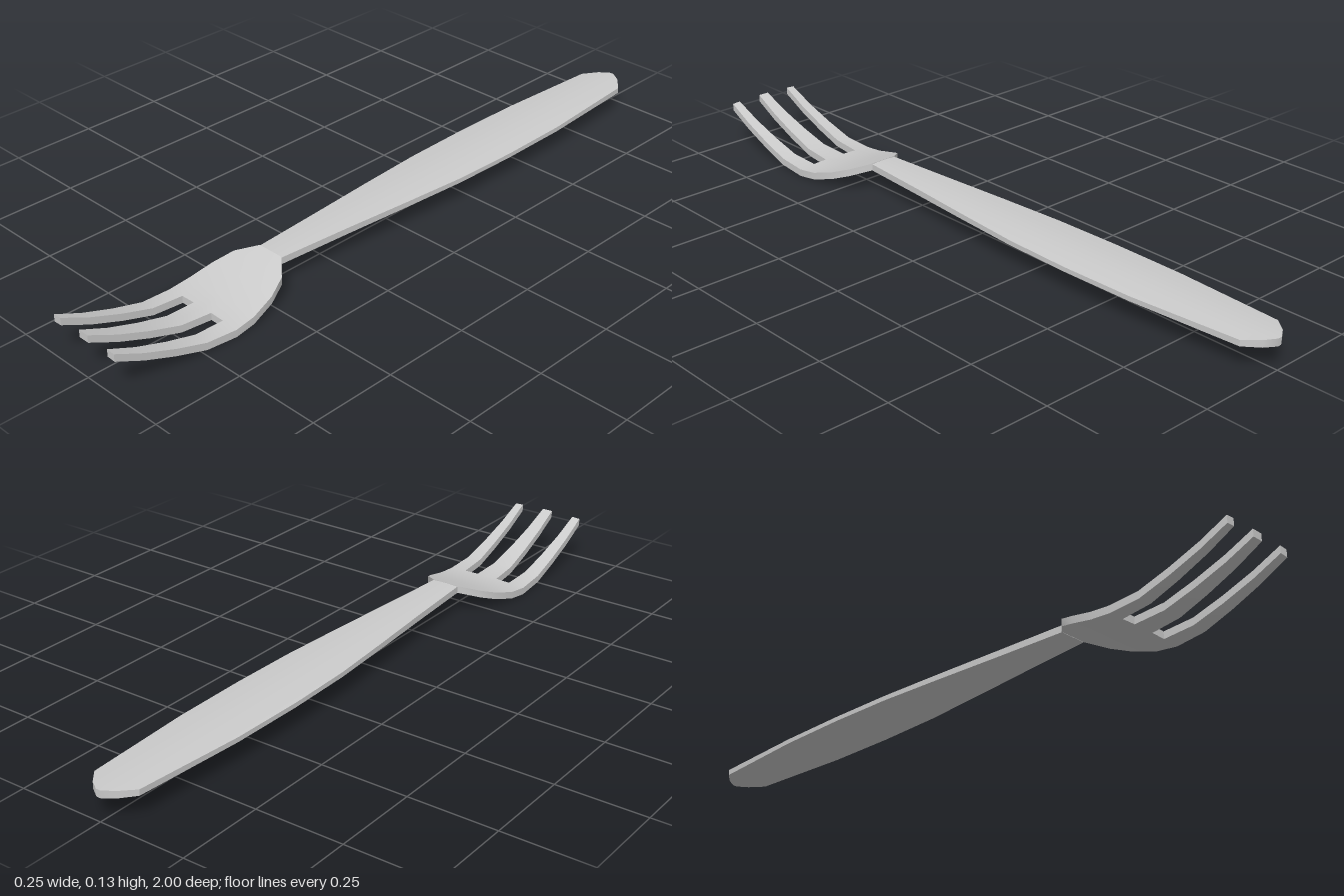
import * as THREE from 'three';
import { toCreasedNormals } from 'three/addons/utils/BufferGeometryUtils.js';

// Slab swept along z: each row is a list of { top, bottom } points, x ascending
function addSlab(out, rows, { back = false, front = false } = {}) {
  const quad = (a, b, c, d) => out.push(...a, ...b, ...c, ...a, ...c, ...d);
  for (let j = 0; j < rows.length - 1; j++) {
    const r = rows[j], s = rows[j + 1], n = r.length - 1;
    for (let i = 0; i < n; i++) {
      quad(r[i].top, s[i].top, s[i + 1].top, r[i + 1].top);
      quad(r[i].bottom, r[i + 1].bottom, s[i + 1].bottom, s[i].bottom);
    }
    quad(r[n].top, s[n].top, s[n].bottom, r[n].bottom);
    quad(r[0].top, r[0].bottom, s[0].bottom, s[0].top);
  }
  const cap = (r, flip) => {
    for (let i = 0; i < r.length - 1; i++) {
      const q = [r[i].top, r[i].bottom, r[i + 1].bottom, r[i + 1].top];
      quad(...(flip ? q.reverse() : q));
    }
  };
  if (back) cap(rows[0], true);
  if (front) cap(rows[rows.length - 1], false);
}

function toMesh(name, positions) {
  const geometry = new THREE.BufferGeometry();
  geometry.setAttribute('position', new THREE.Float32BufferAttribute(positions, 3));
  const mesh = new THREE.Mesh(
    toCreasedNormals(geometry, 0.6),
    new THREE.MeshStandardMaterial({ color: 0xcccccc })
  );
  mesh.name = name;
  return mesh;
}

// Handle: flat underside, gently domed top, [z, half width]
function makeHandle() {
  const outline = [
    [-1, 0.006], [-0.98, 0.036], [-0.94, 0.07], [-0.62, 0.092], [-0.4, 0.095],
    [-0.2, 0.09], [0, 0.075], [0.2, 0.058], [0.42, 0.041],
  ];
  const rows = outline.map(([z, w]) => [-1, -0.5, 0, 0.5, 1].map((u) => {
    const x = u * w;
    return { top: [x, 0.089 - 0.9 * x * x, z], bottom: [x, 0.068, z] };
  }));
  const out = [];
  addSlab(out, rows, { back: true, front: true });
  return toMesh('handle', out);
}

// Head: curved bowl and three tapering tines
function makeHead() {
  const point = (x, y, z) => {
    const drop = 0.3 * x * x;
    return { top: [x, y + 0.021 - drop, z], bottom: [x, y - drop, z] };
  };
  const out = [];

  // Bowl, [z, underside height, half width]; columns line up with the tine roots
  const bowl = [
    [0.42, 0.069, 0.041], [0.465, 0.053, 0.09], [0.52, 0.034, 0.112],
    [0.59, 0.015, 0.124], [0.65, 0.008, 0.127],
  ];
  const columns = [-0.127, -0.077, -0.033, 0, 0.033, 0.077, 0.127];
  addSlab(out, bowl.map(([z, y, w]) => columns.map((c) => point(c * w / 0.127, y, z))),
    { back: true });

  // Gap ends between the tines
  for (const side of [-1, 1]) {
    const [a, b] = [0.033 * side, 0.077 * side].sort((p, q) => p - q)
      .map((x) => point(x, 0.008, 0.65));
    out.push(...a.top, ...a.bottom, ...b.bottom, ...a.top, ...b.bottom, ...b.top);
  }

  // Tines, [z, underside height]; each has root and tip edges
  const rise = [[0.65, 0.008], [0.74, 0.014], [0.83, 0.041], [0.92, 0.074], [1, 0.111]];
  const tines = [
    { root: [-0.127, -0.077], tip: [-0.114, -0.089] },
    { root: [-0.033, 0, 0.033], tip: [-0.016, 0, 0.016] },
    { root: [0.077, 0.127], tip: [0.089, 0.114] },
  ];
  for (const { root, tip } of tines) {
    const rows = rise.map(([z, y]) => root.map((x, i) =>
      point(THREE.MathUtils.lerp(x, tip[i], (z - 0.65) / 0.35), y, z)));
    addSlab(out, rows, { front: true });
  }
  return toMesh('head', out);
}

export function createModel() {
  const fork = new THREE.Group();
  fork.name = 'fork';
  fork.add(makeHandle(), makeHead());
  return fork;
}
